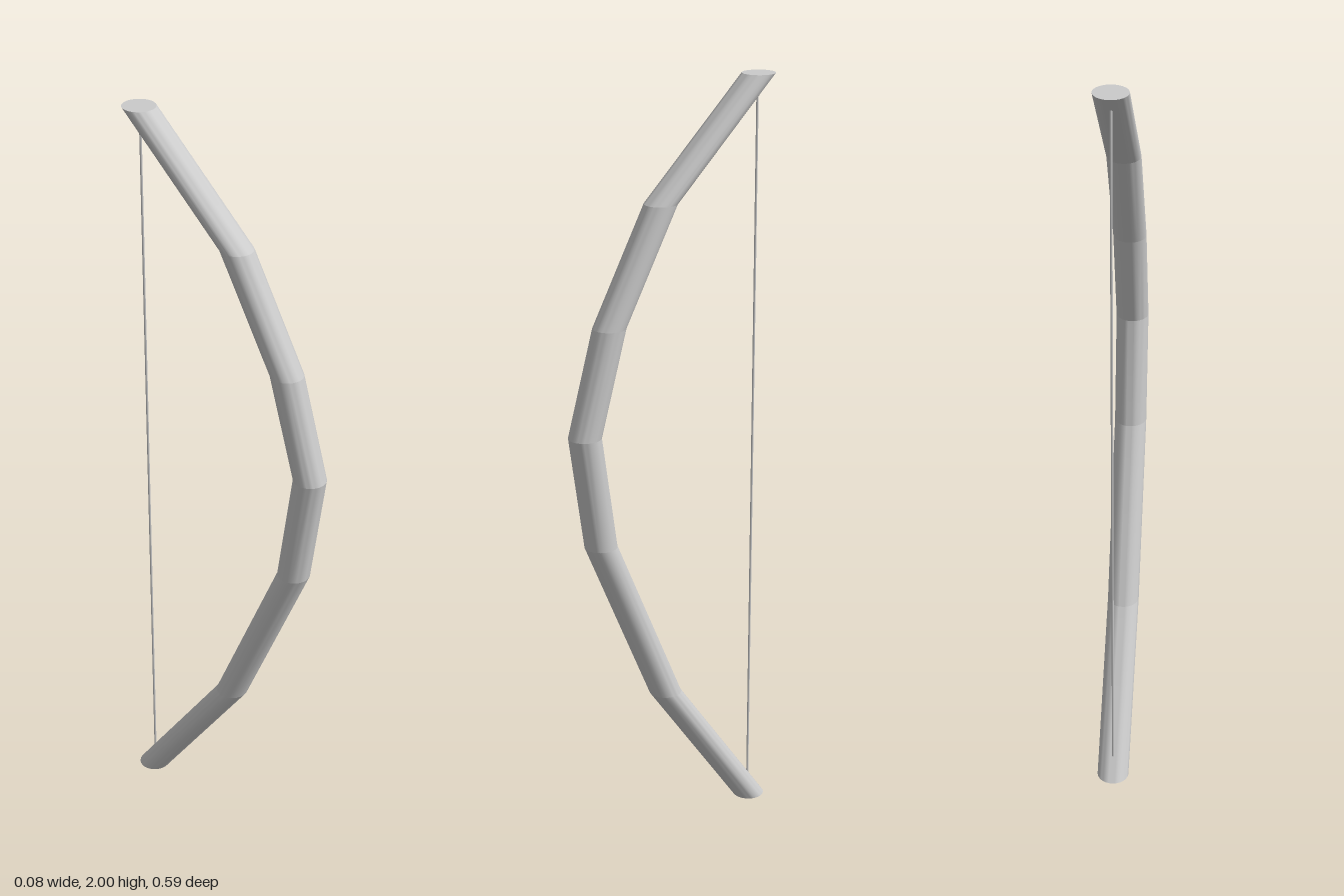
import * as THREE from 'three';
import { toCreasedNormals } from 'three/addons/utils/BufferGeometryUtils.js';

const RADIUS = 0.042;
// Centre line of the bow as [y, z], from the bottom tip to the top tip
const JOINTS = [
  [0, -0.255], [0.39, 0.02], [0.85, 0.213], [1.15, 0.255],
  [1.42, 0.181], [1.71, 0.031], [2, -0.255],
];

// Cylinder sheared along z, so that both of its end rings stay level
function limbSegment([y0, z0], [y1, z1]) {
  const height = y1 - y0;
  const geometry = new THREE.CylinderGeometry(RADIUS, RADIUS, height, 32, 1, y0 > 0 && y1 < 2);
  const shear = new THREE.Matrix4().set(
    1, 0, 0, 0,
    0, 1, 0, (y0 + y1) / 2,
    0, (z1 - z0) / height, 1, (z0 + z1) / 2,
    0, 0, 0, 1
  );
  return toCreasedNormals(geometry.applyMatrix4(shear), 0.5);
}

export function createModel() {
  const model = new THREE.Group();
  model.name = 'bow';
  const material = new THREE.MeshStandardMaterial({ color: 0xcccccc, side: THREE.DoubleSide });

  // Bent stave, one straight piece between each pair of joints
  const stave = new THREE.Group();
  stave.name = 'stave';
  for (let i = 0; i < JOINTS.length - 1; i++) {
    const segment = new THREE.Mesh(limbSegment(JOINTS[i], JOINTS[i + 1]), material);
    segment.name = i === 2 ? 'grip' : i < 2 ? 'lowerLimb' : 'upperLimb';
    stave.add(segment);
  }
  model.add(stave);

  // Taut string between the tips
  const string = new THREE.Mesh(new THREE.CylinderGeometry(0.003, 0.003, 1.99, 8), material);
  string.name = 'bowstring';
  string.position.set(0, 1, -0.252);
  model.add(string);

  return model;
}
